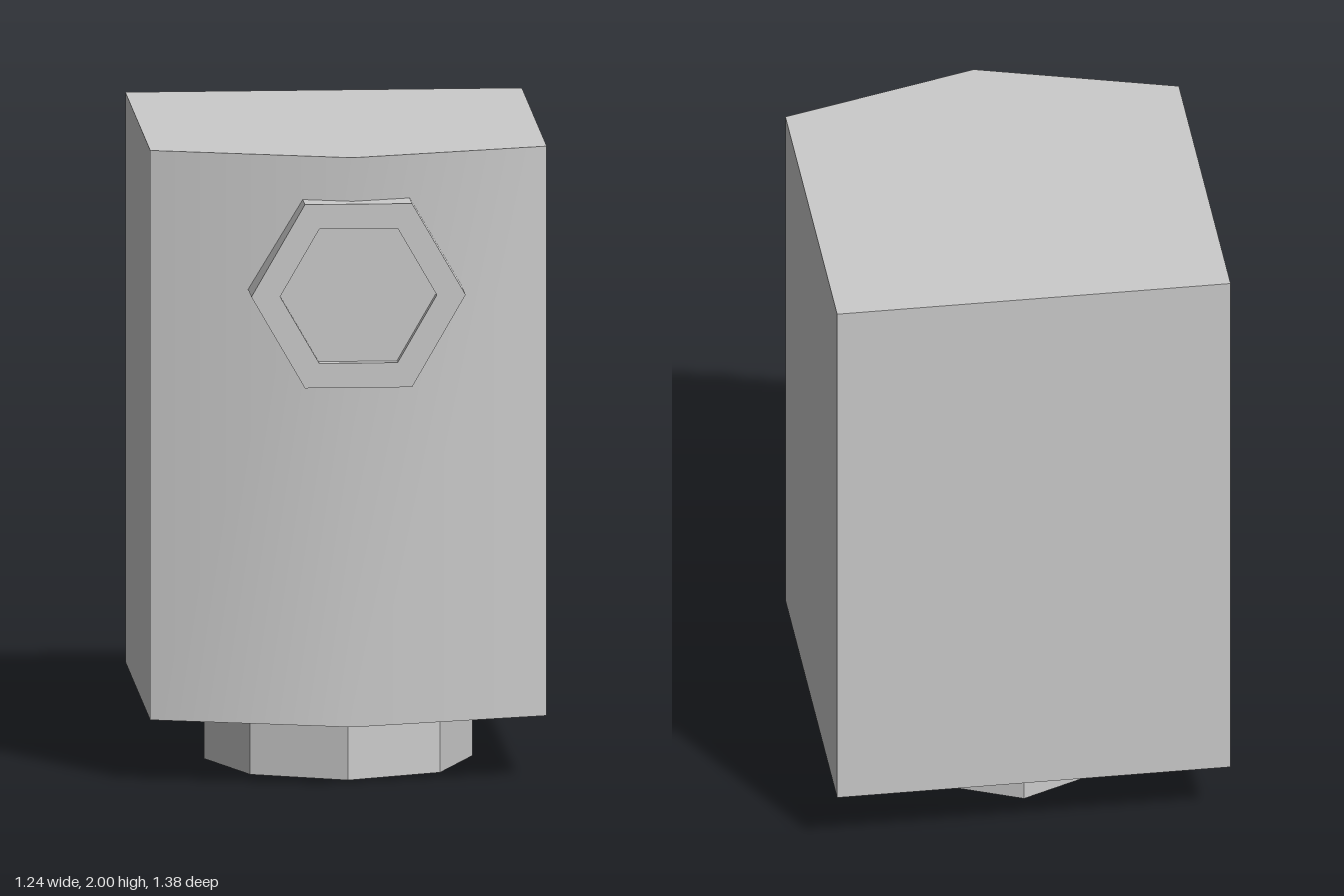
import * as THREE from 'three';
import { toCreasedNormals, mergeGeometries } from 'three/addons/utils/BufferGeometryUtils.js';

const BOTTOM = 0.2, TOP = 2;
const SOCKET_Z = -0.02, OUTER = 0.42, INNER = 0.31, STRETCH = 1.08;

// Footprint in [x, z], starting at the front left corner
const OUTLINE = [[-0.62, 0.45], [0, 0.635], [0.62, 0.45], [0.62, -0.69], [-0.62, -0.69]];

function material(flatShading) {
  return new THREE.MeshStandardMaterial({ color: 0xcccccc, flatShading });
}

function polygon(points) {
  return points.map(([x, y]) => new THREE.Vector2(x, y));
}

// Upright walls along a closed outline
function walls(points, y0, y1) {
  const positions = [];
  points.forEach(([ax, az], i) => {
    const [bx, bz] = points[(i + 1) % points.length];
    positions.push(ax, y0, az, bx, y0, bz, bx, y1, bz, ax, y0, az, bx, y1, bz, ax, y1, az);
  });
  const geometry = new THREE.BufferGeometry();
  geometry.setAttribute('position', new THREE.Float32BufferAttribute(positions, 3));
  return geometry;
}

// Flat cap without uvs, so it merges with the walls
function cap(shape, turn, y) {
  const geometry = new THREE.ShapeGeometry(shape).toNonIndexed();
  geometry.deleteAttribute('uv');
  geometry.deleteAttribute('normal');
  return geometry.rotateX(turn).translate(0, y, 0);
}

// Closed block with a softly shaded front ridge and an opening underneath
function bodyGeometry() {
  const top = new THREE.Shape(polygon(OUTLINE.map(([x, z]) => [x, -z])));
  const base = new THREE.Shape(polygon(OUTLINE));
  const hole = [];
  for (let i = 0; i < 8; i++) {
    const a = (i * Math.PI) / 4;
    hole.push([INNER * Math.sin(a), INNER * STRETCH * Math.cos(a) + SOCKET_Z]);
  }
  base.holes.push(new THREE.Path(polygon(hole)));
  const merged = mergeGeometries([
    walls(OUTLINE, BOTTOM, TOP),
    cap(top, -Math.PI / 2, TOP),
    cap(base, Math.PI / 2, BOTTOM),
  ]);
  return toCreasedNormals(merged, 0.8);
}

export function createModel() {
  const model = new THREE.Group();
  const add = (name, geometry, flat) => {
    const mesh = new THREE.Mesh(geometry, material(flat));
    mesh.name = name;
    model.add(mesh);
    return mesh;
  };

  add('body', bodyGeometry(), false);

  // Eight-sided collar below, with a deep socket reaching into the body
  const collar = new THREE.LatheGeometry(
    polygon([[0, 0.37], [INNER, 0.37], [INNER, 0], [OUTER, 0], [OUTER, BOTTOM]]), 8);
  collar.scale(1, 1, STRETCH).translate(0, 0, SOCKET_Z);
  add('bottomCollar', collar, true);

  // Six-sided button on the front, with a shallow recess
  const button = new THREE.LatheGeometry(
    polygon([[0.335, 0.5], [0.335, 0.69], [0.245, 0.69], [0.245, 0.655], [0, 0.655]]), 6, Math.PI / 2);
  button.rotateX(Math.PI / 2).translate(0.015, 1.572, 0);
  add('frontButton', button, true);

  return model;
}
